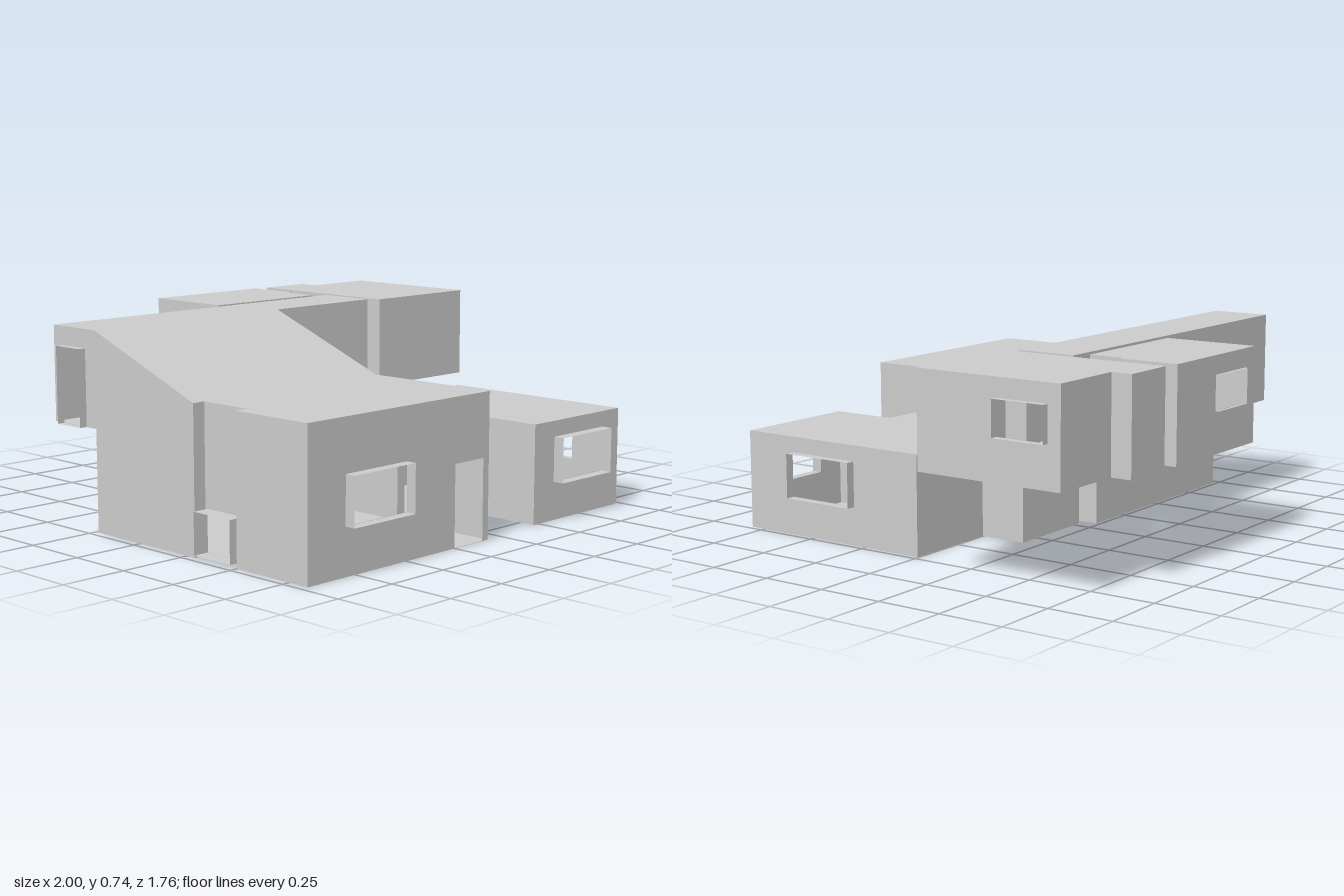
import * as THREE from 'three';

const material = new THREE.MeshStandardMaterial({ color: 0xcccccc, side: THREE.DoubleSide });

function add(parent, geometry, name) {
  const mesh = new THREE.Mesh(geometry, material);
  mesh.name = name;
  parent.add(mesh);
  return mesh;
}

// Opening: from..to along the wall, y0..y1 in height, depth of the sleeve pushed outwards
const opening = (name, from, to, y0, y1, depth = 0) => ({ name, from, to, y0, y1, depth });

// Open four-sided sleeve lining a window or passage
function sleeve(w, h, d) {
  const g = new THREE.CylinderGeometry(Math.SQRT1_2, Math.SQRT1_2, 1, 4, 1, true)
    .rotateY(Math.PI / 4).rotateX(Math.PI / 2).scale(w, h, d).toNonIndexed();
  g.computeVertexNormals();
  return g;
}

// Upright wall from p to q ([x, z], clockwise seen from above), outline given as [position, y]
function wall(parent, name, p, q, outline, openings = []) {
  const dx = q[0] - p[0], dz = q[1] - p[1];
  const axis = Math.abs(dx) > Math.abs(dz) ? 0 : 1;
  const local = (s) => Math.abs(s - q[axis]);
  const shape = new THREE.Shape(outline.map(([s, y]) => new THREE.Vector2(local(s), y)));
  const group = new THREE.Group();
  group.name = name;
  group.position.set(q[0], 0, q[1]);
  group.rotation.y = Math.atan2(dz, -dx);
  for (const o of openings) {
    const a = Math.min(local(o.from), local(o.to)), b = Math.max(local(o.from), local(o.to));
    const low = o.y0 + 0.001;
    shape.holes.push(new THREE.Path([[a, low], [a, o.y1], [b, o.y1], [b, low]]
      .map(([u, y]) => new THREE.Vector2(u, y))));
    if (o.depth) {
      add(group, sleeve(b - a, o.y1 - o.y0, o.depth), o.name)
        .position.set((a + b) / 2, (o.y0 + o.y1) / 2, o.depth / 2);
    }
  }
  add(group, new THREE.ShapeGeometry(shape), name + 'Panel');
  parent.add(group);
}

function plainWall(parent, name, p, q, y0, y1, openings) {
  const axis = Math.abs(q[0] - p[0]) > Math.abs(q[1] - p[1]) ? 0 : 1;
  wall(parent, name, p, q, [[p[axis], y0], [q[axis], y0], [q[axis], y1], [p[axis], y1]], openings);
}

// Horizontal sheet, facing up for ceilings and down for floors
function slab(parent, name, poly, y, up) {
  const sign = up ? -1 : 1;
  const shape = new THREE.Shape(poly.map(([x, z]) => new THREE.Vector2(x, sign * z)));
  add(parent, new THREE.ShapeGeometry(shape).rotateX(sign * Math.PI / 2), name).position.y = y;
}

// Closed room over a plan; openings are listed per edge number
function room(parent, name, poly, y0, y1, openings) {
  const group = new THREE.Group();
  group.name = name;
  poly.forEach((p, i) =>
    plainWall(group, 'wall', p, poly[(i + 1) % poly.length], y0, y1, openings[i]));
  slab(group, 'floor', poly, y0, false);
  slab(group, 'ceiling', poly, y1, true);
  parent.add(group);
}

export function createModel() {
  const model = new THREE.Group();
  model.name = 'apartment';
  const U = 0.38, T = 0.735, E = 0.535; // upper floor, upper ceiling, low ceiling
  const L = -0.97, R = -0.07, B = -0.235, F = 0.835, S = 0.29; // living room limits, S = slope foot
  const H = -0.47, C = 0.44; // hallway back and right end

  // Living room with a recess in its right-hand side
  const living = new THREE.Group();
  living.name = 'livingRoom';
  model.add(living);
  const front = [[R, S], [R, F], [L, F], [L, 0.5], [-0.92, 0.5], [-0.92, S]];
  plainWall(living, 'frontWall', [R, F], [L, F], 0, E, [
    opening('frontWindow', -0.795, -0.5, 0.17, 0.345, 0.04),
    opening('entrance', -0.25, -0.1, 0, 0.3),
  ]);
  plainWall(living, 'sideWall', [L, F], [L, 0.5], 0, E);
  plainWall(living, 'recessWall', [L, 0.5], [-0.92, 0.5], 0, E);
  plainWall(living, 'recessWall', [-0.92, 0.5], [-0.92, S], 0, E,
    [opening('lowWindow', 0.3, 0.48, 0.012, 0.165, 0.063)]);
  plainWall(living, 'recessWall', [-0.92, S], [L, S], 0, E);
  wall(living, 'gableWall', [L, S], [L, H],
    [[S, 0], [S, E], [B, T], [H, T], [H, U], [B, U], [B, 0]],
    [opening('hallwayEndDoor', -0.42, -0.29, U, 0.665, 0.03)]);
  plainWall(living, 'backWall', [L, B], [R, B], 0, U,
    [opening('vent', -0.6, -0.53, 0.195, 0.25, 0.035)]);
  wall(living, 'gableWall', [R, B], [R, F], [[B, 0], [B, T], [S, E], [F, E], [F, 0]],
    [opening('passage', 0.4, 0.545, 0, 0.3, 0.04)]);
  slab(living, 'floor', [[L, B], [R, B], ...front, [L, S]], 0, false);
  slab(living, 'flatCeiling', front, E, true);

  // Sloping roof rising to the hallway
  const run = S - B, rise = T - E;
  const slope = new THREE.PlaneGeometry(R - L, Math.hypot(run, rise))
    .rotateX(-Math.PI / 2 + Math.atan2(rise, run));
  add(living, slope, 'slopingRoof').position.set((L + R) / 2, (T + E) / 2, (S + B) / 2);

  // Upper hallway, open to the living room
  const hall = new THREE.Group();
  hall.name = 'hallway';
  model.add(hall);
  const hallPlan = [[L, H], [C, H], [C, B], [L, B]];
  plainWall(hall, 'backWall', [L, H], [C, H], U, T,
    [opening('bathroomPassage', -0.065, 0.065, U, 0.665, 0.035)]);
  plainWall(hall, 'endWall', [C, H], [C, B], U, T,
    [opening('upperBedroomPassage', -0.42, -0.29, U, 0.665, 0.03)]);
  plainWall(hall, 'frontWall', [C, B], [R, B], U, T);
  slab(hall, 'floor', hallPlan, U, false);
  slab(hall, 'ceiling', hallPlan, T, true);

  // Lower bedroom
  room(model, 'lowerBedroom', [[-0.03, -0.18], [0.34, -0.18], [0.34, 0.005], [0.73, 0.005],
    [0.73, 0.812], [0.22, 0.812], [0.22, 0.545], [-0.03, 0.545]], 0, 0.375, {
    3: [opening('sideWindow', 0.3, 0.597, 0.145, 0.315, 0.035)],
    4: [opening('frontWindow', 0.335, 0.63, 0.145, 0.315, 0.043)],
    7: [opening('passage', 0.4, 0.544, 0, 0.3)],
  });

  // Upper bedroom
  room(model, 'upperBedroom', [[0.47, -0.862], [0.68, -0.862], [0.68, -0.782], [0.975, -0.782],
    [0.975, -0.197], [0.47, -0.197]], U, T, {
    3: [opening('sideWindow', -0.73, -0.525, 0.535, 0.665, 0.025)],
    5: [opening('passage', -0.42, -0.29, U, 0.665)],
  });

  // Bathroom
  room(model, 'bathroom', [[-0.133, -0.873], [0.41, -0.873], [0.41, -0.645], [0.39, -0.645],
    [0.39, -0.505], [-0.133, -0.505]], U, T, {
    0: [opening('backWindow', -0.06, 0.147, 0.535, 0.665, 0.012)],
    4: [opening('passage', -0.065, 0.065, U, 0.665)],
  });

  return model;
}
